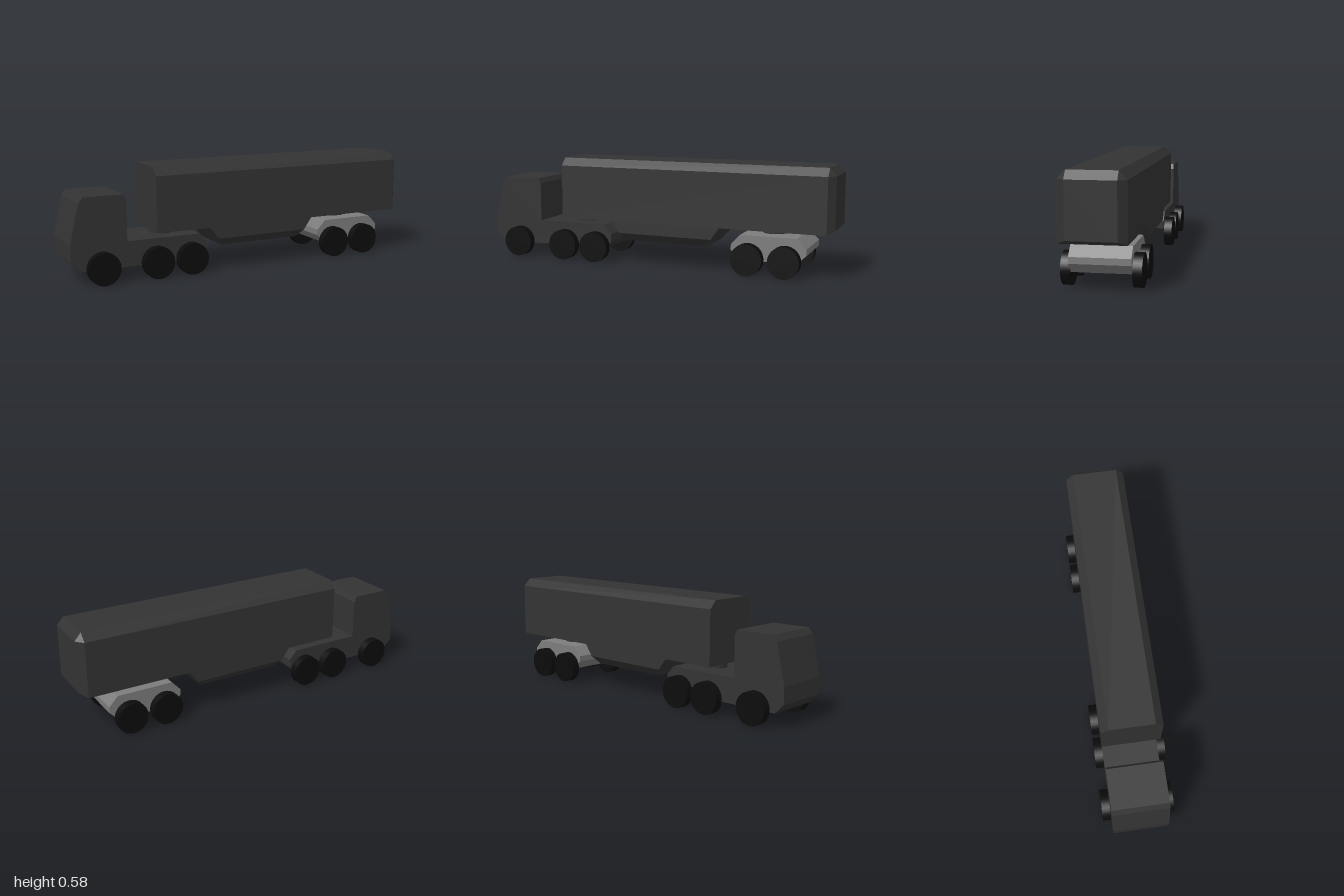
import * as THREE from 'three';
import { ConvexGeometry } from 'three/addons/geometries/ConvexGeometry.js';

const dark = new THREE.MeshStandardMaterial({ color: 0x333333, flatShading: true });
const darkRound = new THREE.MeshStandardMaterial({ color: 0x333333 });
const grey = new THREE.MeshStandardMaterial({ color: 0x7c7c7c, flatShading: true });
const black = new THREE.MeshStandardMaterial({ color: 0x0c0c0c });

const HALF = 0.151; // half width of tractor and bogie
const TRAILER_Z = 0.01; // trailer sits slightly off the centre line

function add(parent, name, geometry, material, x = 0, y = 0, z = 0) {
  const mesh = new THREE.Mesh(geometry, material);
  mesh.name = name;
  mesh.position.set(x, y, z);
  parent.add(mesh);
  return mesh;
}

// Side profile in x/y, extruded across the width
function prism(points) {
  const shape = new THREE.Shape(points.map(([x, y]) => new THREE.Vector2(x, y)));
  const g = new THREE.ExtrudeGeometry(shape, { depth: HALF * 2, bevelEnabled: false });
  return g.translate(0, 0, -HALF);
}

// Convex solid from [x, y, z] points, mirrored across z
function mirroredHull(points) {
  return new ConvexGeometry(points.flatMap(([x, y, z]) =>
    [new THREE.Vector3(x, y, z), new THREE.Vector3(x, y, -z)]));
}

// A pair of wheels on one axle
function addAxle(parent, x) {
  const axle = new THREE.Group();
  axle.name = 'wheelPair';
  for (const side of [1, -1]) {
    const g = new THREE.CylinderGeometry(0.085, 0.085, 0.047, 32).rotateX(Math.PI / 2);
    add(axle, side > 0 ? 'leftWheel' : 'rightWheel', g, black, x, 0.085, side * 0.1735);
  }
  parent.add(axle);
}

export function createModel() {
  const model = new THREE.Group();
  model.name = 'articulatedTruck';

  // Tractor: cab and chassis in one profile
  const tractor = new THREE.Group();
  tractor.name = 'tractor';
  model.add(tractor);
  add(tractor, 'cabAndChassis', prism([
    [-0.95, 0.075], [-0.29, 0.075], [-0.25, 0.115], [-0.25, 0.16], [-0.295, 0.21],
    [-0.7, 0.21], [-0.7, 0.425], [-0.715, 0.455], [-0.93, 0.455], [-0.952, 0.425],
    [-1, 0.215], [-1, 0.125],
  ]), dark);
  for (const x of [-0.835, -0.54, -0.345]) addAxle(tractor, x);

  // Rear bogie
  const bogie = new THREE.Group();
  bogie.name = 'rearBogie';
  model.add(bogie);
  add(bogie, 'bogieFrame', prism([
    [0.505, 0.075], [0.81, 0.075], [0.86, 0.125], [0.86, 0.158],
    [0.81, 0.21], [0.505, 0.21], [0.455, 0.158], [0.455, 0.125],
  ]), grey);
  for (const x of [0.55, 0.75]) addAxle(bogie, x);

  // Turntables carrying the trailer
  for (const [name, x] of [['frontTurntable', -0.455], ['rearTurntable', 0.655]]) {
    add(model, name, new THREE.CylinderGeometry(0.065, 0.065, 0.05, 24), darkRound, x, 0.226, 0);
  }

  // Trailer body: chamfered roof edges and bevelled tail
  const trailer = new THREE.Group();
  trailer.name = 'trailer';
  trailer.position.z = TRAILER_Z;
  model.add(trailer);
  const section = [[0.24, 0.164], [0.538, 0.164], [0.58, 0.1225]];
  const body = [-0.545, 0.965].flatMap((x) => section.map(([y, z]) => [x, y, z]));
  body.push([1, 0.26, 0.1225], [1, 0.538, 0.1225]);
  add(trailer, 'trailerBody', mirroredHull(body), dark);

  // Belly between the wheels, with chamfered lower edges
  add(trailer, 'trailerBelly', mirroredHull([
    [-0.24, 0.241, 0.164], [0.395, 0.241, 0.164],
    [-0.19, 0.175, 0.164], [0.348, 0.175, 0.164],
    [-0.155, 0.13, 0.1225], [0.315, 0.13, 0.1225],
  ]), dark);

  return model;
}
